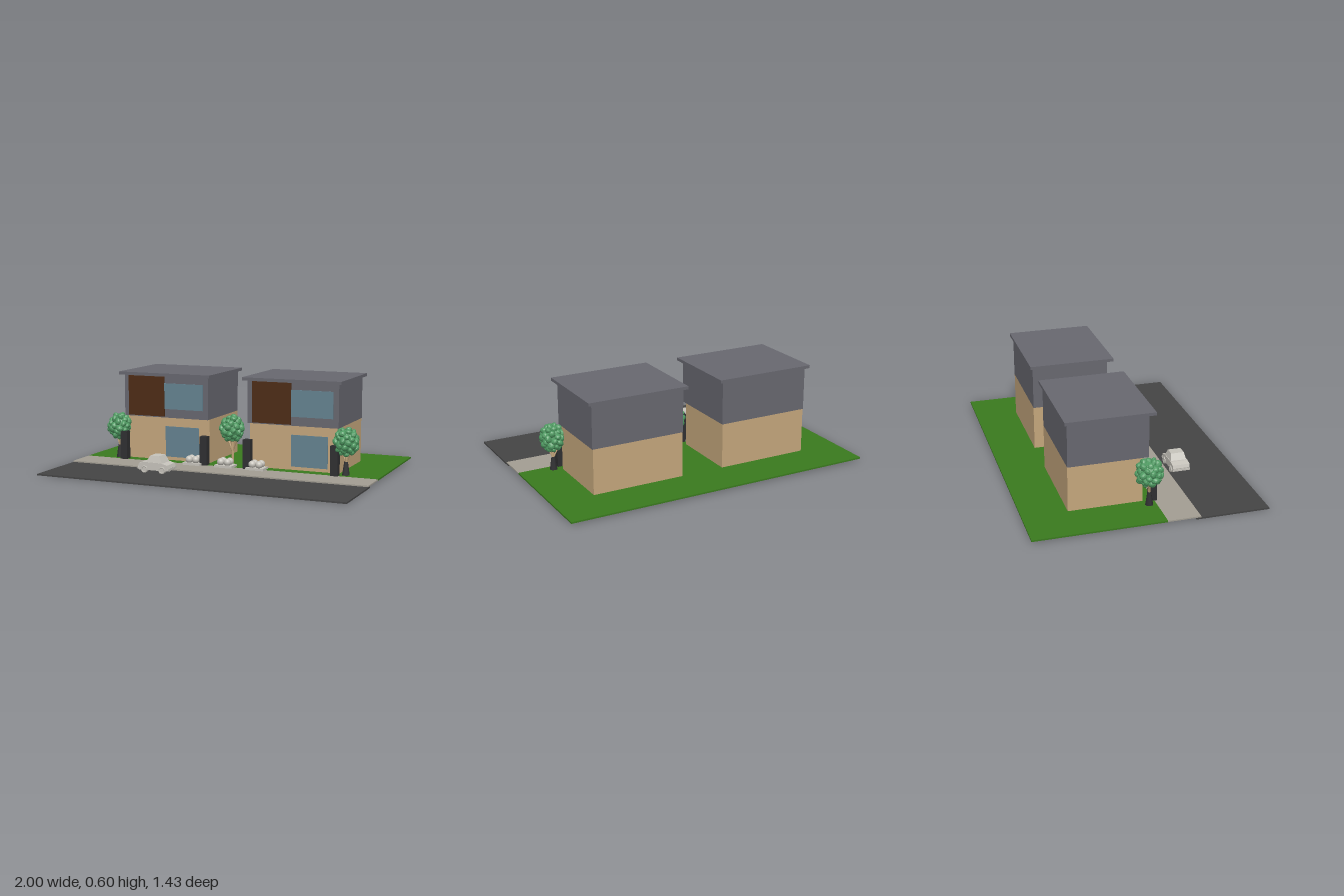
import * as THREE from 'three';
import { mergeGeometries } from 'three/addons/utils/BufferGeometryUtils.js';

const mat = (name, color, flatShading = false) => {
  const m = new THREE.MeshStandardMaterial({ color, flatShading });
  m.name = name;
  return m;
};

export function createModel() {
  const M = {
    lawn: mat('lawn green', 0x3a7a1e),
    road: mat('asphalt', 0x444444),
    paving: mat('paving', 0xa29d92),
    wall: mat('sand wall', 0xc4a67c),
    grey: mat('slate grey', 0x67676f),
    timber: mat('dark timber', 0x4d2b14),
    glass: mat('blue glass', 0x648290),
    leaf: mat('foliage', 0x4f9a62, true),
    dark: mat('charcoal', 0x2f2f31),
    pale: mat('pale stone', 0xc6c3bb)
  };
  const root = new THREE.Group();
  root.name = 'streetScene';

  const add = (parent, name, geometry, material, x = 0, y = 0, z = 0) => {
    const mesh = new THREE.Mesh(geometry, material);
    mesh.name = name;
    mesh.position.set(x, y, z);
    parent.add(mesh);
    return mesh;
  };
  // Box given by its extents on each axis
  const box = (parent, name, material, x0, x1, y0, y1, z0, z1) =>
    add(parent, name, new THREE.BoxGeometry(x1 - x0, y1 - y0, z1 - z0), material,
      (x0 + x1) / 2, (y0 + y1) / 2, (z0 + z1) / 2);
  const group = (name, x = 0, y = 0, z = 0) => {
    const g = new THREE.Group();
    g.name = name;
    g.position.set(x, y, z);
    root.add(g);
    return g;
  };

  // Ground slabs
  box(root, 'lawn', M.lawn, -1, 1, 0.01, 0.02, -0.715, 0.085);
  box(root, 'sidewalk', M.paving, -1, 1, 0.011, 0.019, 0.085, 0.287);
  box(root, 'road', M.road, -1, 1, 0, 0.01, 0.26, 0.712);

  // Two identical houses side by side
  for (const x of [-0.4375, 0.4375]) {
    const h = group('house', x);
    box(h, 'groundFloor', M.wall, -0.297, 0.297, 0.02, 0.305, -0.44, 0.015);
    box(h, 'upperFloor', M.grey, -0.3, 0.3, 0.305, 0.58, -0.44, 0.05);
    box(h, 'roof', M.grey, -0.325, 0.325, 0.578, 0.597, -0.458, 0.085);
    box(h, 'timberPanel', M.timber, -0.267, -0.008, 0.312, 0.572, 0.05, 0.059);
    box(h, 'upperWindow', M.glass, -0.008, 0.265, 0.362, 0.53, 0.05, 0.055);
    box(h, 'lowerWindow', M.glass, -0.018, 0.222, 0.042, 0.243, 0.015, 0.02);
    for (const s of [-1, 1])
      box(h, 'pillar', M.dark, s * 0.288 - 0.024, s * 0.288 + 0.024, 0.018, 0.205, 0.055, 0.1);
  }

  // Repeatable random numbers for the foliage
  let seed = 7;
  const rnd = () => (seed = (seed * 16807) % 2147483647) / 2147483647;

  // Crown: overlapping faceted leaf clumps spread evenly over a sphere
  const crown = (radius) => {
    const parts = [new THREE.IcosahedronGeometry(radius * 0.8, 2)];
    const count = 46;
    for (let i = 0; i < count; i++) {
      const v = 1 - 2 * (i + 0.5) / count, a = i * 2.39996, w = Math.sqrt(1 - v * v);
      const d = radius * (0.68 + 0.1 * rnd());
      const g = new THREE.IcosahedronGeometry(radius * (0.22 + 0.08 * rnd()), 1);
      g.scale(1, 0.75, 1).rotateZ(rnd() * 3).rotateY(rnd() * 6);
      parts.push(g.translate(Math.cos(a) * w * d, v * d, Math.sin(a) * w * d));
    }
    return mergeGeometries(parts);
  };
  const limb = (parent, name, material, points, r) =>
    add(parent, name, new THREE.TubeGeometry(
      new THREE.CatmullRomCurve3(points.map(p => new THREE.Vector3(...p))), 6, r, 7), material);

  const tree = (x, z, crownY, trunkBase) => {
    const t = group('tree', x, 0.018, z);
    add(t, 'crown', crown(0.09), M.leaf, 0, crownY - 0.018, 0).scale.set(0.95, 1.08, 1);
    limb(t, 'trunk', M.wall, [[0, 0, 0], [0.003, 0.06, 0], [0, 0.17, 0]], 0.009);
    for (const s of [-1, 1])
      limb(t, 'branch', M.wall, [[0, 0.07, 0], [s * 0.014, 0.11, s * 0.006], [s * 0.04, 0.16, s * 0.02]], 0.005);
    if (trunkBase)
      add(t, 'trunkBase', new THREE.CylinderGeometry(0.012, 0.025, 0.085, 8), M.dark, 0, 0.0425, 0);
  };
  tree(-0.785, 0.04, 0.228, true);
  tree(0.785, 0.04, 0.228, true);
  tree(-0.007, -0.045, 0.248, false);

  // Stone trays holding four round shrubs
  for (const x of [-0.222, 0, 0.215]) {
    const p = group('planter', x, 0.018, 0.085);
    box(p, 'tray', M.pale, -0.06, 0.06, 0, 0.016, -0.045, 0.045);
    for (const sx of [-1, 1]) for (const sz of [-1, 1])
      add(p, 'ball', new THREE.SphereGeometry(0.024, 16, 12), M.pale, sx * 0.023, 0.035, sz * 0.02);
  }

  // Car: side outline extruded across, with a tapered cabin
  const car = group('car', -0.347, 0.01, 0.36);
  const slab = (name, pts, width, taper) => {
    const g = new THREE.ExtrudeGeometry(new THREE.Shape(pts.map(p => new THREE.Vector2(...p))),
      { depth: width, bevelEnabled: false }).translate(0, 0, -width / 2);
    const a = g.attributes.position;
    for (let i = 0; i < a.count; i++) if (a.getY(i) > 0.09) a.setZ(i, a.getZ(i) * taper);
    g.computeVertexNormals();
    add(car, name, g, M.pale);
  };
  slab('body', [[-0.1, 0.018], [0.1, 0.018], [0.104, 0.035], [0.097, 0.055], [0.055, 0.066],
    [-0.06, 0.068], [-0.098, 0.06], [-0.104, 0.04]], 0.11, 1);
  slab('cabin', [[-0.05, 0.064], [0.062, 0.064], [0.036, 0.108], [-0.026, 0.108]], 0.104, 0.8);
  for (const s of [-1, 1]) {
    box(car, 'bumper', M.pale, s * 0.102 - 0.005, s * 0.102 + 0.005, 0.022, 0.034, -0.057, 0.057);
    for (const x of [-0.06, 0.062]) {
      const wheel = add(car, 'wheel', new THREE.CylinderGeometry(0.023, 0.023, 0.02, 20), M.pale, x, 0.023, s * 0.048);
      wheel.rotation.x = Math.PI / 2;
      const rim = add(car, 'rim', new THREE.TorusGeometry(0.018, 0.004, 6, 20), M.pale, x, 0.023, s * 0.058);
      rim.scale.z = 0.6;
    }
  }
  return root;
}
